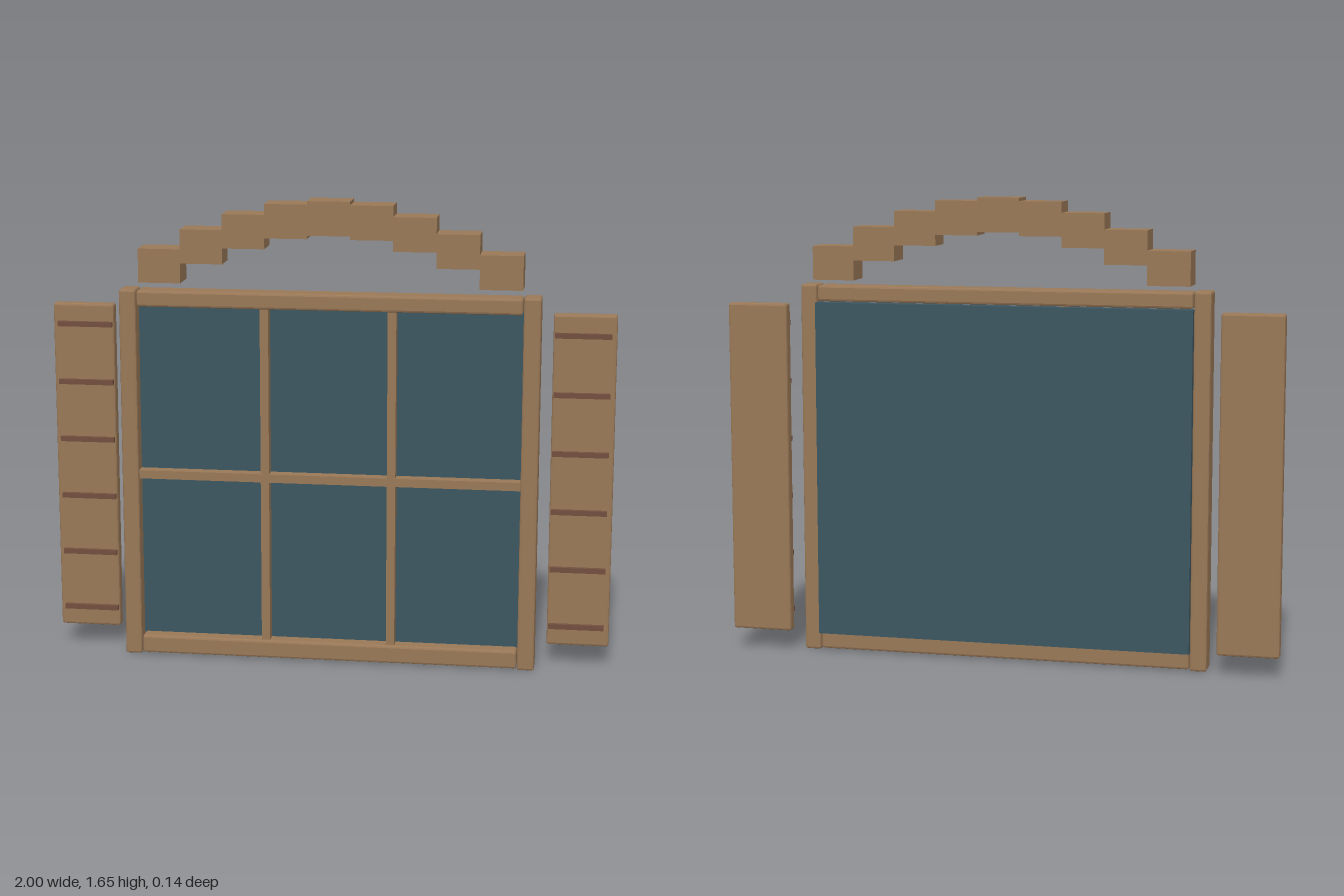
import * as THREE from 'three';
import { RoundedBoxGeometry } from 'three/addons/geometries/RoundedBoxGeometry.js';

export function createModel() {
  const group = new THREE.Group();
  group.name = 'shutteredWindow';

  const wood = new THREE.MeshStandardMaterial({ color: 0x997857 });
  wood.name = 'wood';
  const slatWood = new THREE.MeshStandardMaterial({ color: 0x73503f });
  slatWood.name = 'dark slat wood';
  const glass = new THREE.MeshStandardMaterial({ color: 0x3d5661 });
  glass.name = 'blue grey glass';

  // Box given by its limits on each axis; a bevel above 0 chamfers the edges
  function block(name, material, [x0, x1], [y0, y1], [z0, z1], bevel = 0) {
    const size = [x1 - x0, y1 - y0, z1 - z0];
    const geometry = bevel > 0
      ? new RoundedBoxGeometry(...size, 1, bevel)
      : new THREE.BoxGeometry(...size);
    geometry.computeVertexNormals();
    const mesh = new THREE.Mesh(geometry, material);
    mesh.name = name;
    mesh.position.set((x0 + x1) / 2, (y0 + y1) / 2, (z0 + z1) / 2);
    group.add(mesh);
  }

  // Limits mirrored to the chosen side
  const mirror = (side, a, b) => (side > 0 ? [a, b] : [-b, -a]);

  // Glass pane, standing slightly proud of the frame at the back
  block('glassPane', glass, [-0.68, 0.68], [0.065, 1.275], [-0.04, 0.015]);

  // Top and bottom rails
  const frameZ = [-0.02, 0.07];
  block('bottomRail', wood, [-0.677, 0.677], [0.005, 0.07], frameZ, 0.008);
  block('topRail', wood, [-0.677, 0.677], [1.278, 1.335], frameZ, 0.008);

  // Glazing bars
  block('crossBar', wood, [-0.68, 0.68], [0.655, 0.685], [0, 0.06]);

  for (const side of [1, -1]) {
    const label = side > 0 ? 'left' : 'right';
    block(label + 'Jamb', wood, mirror(side, 0.68, 0.74), [0, 1.338], frameZ, 0.008);
    block(label + 'UprightBar', wood, mirror(side, 0.21, 0.24), [0.065, 1.28], [0, 0.058]);

    // Shutter with six slats
    block(label + 'Shutter', wood, mirror(side, 0.78, 1), [0.073, 1.27], [-0.064, -0.018], 0.008);
    for (let i = 0; i < 6; i++) {
      const y = 0.145 + i * 0.2105;
      block(label + 'ShutterSlat', slatWood, mirror(side, 0.785, 0.982),
        [y - 0.009, y + 0.009], [-0.03, -0.003]);
    }
  }

  // Stepped arch of nine blocks, tops listed from the middle outwards
  const tops = [1.655, 1.643, 1.605, 1.549, 1.479];
  for (let i = -4; i <= 4; i++) {
    const top = tops[Math.abs(i)];
    block('archBlock', wood, [i * 0.15 - 0.075, i * 0.15 + 0.075], [top - 0.12, top], [-0.072, 0.038]);
  }

  return group;
}
